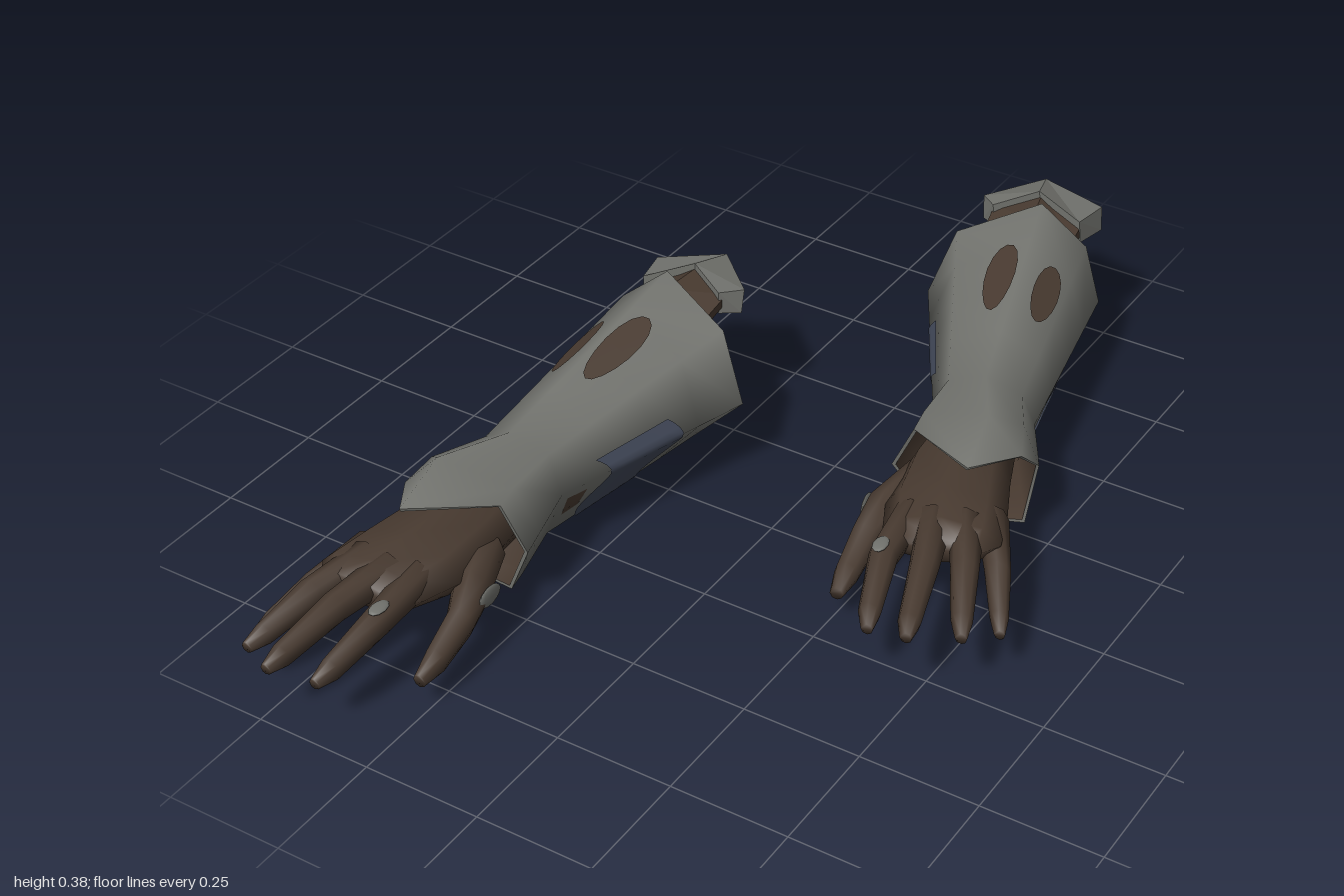
import * as THREE from 'three';

const mat = (name, color) => new THREE.MeshStandardMaterial({ name, color, side: THREE.DoubleSide });

// Skin a list of cross-sections, each a loop of [x, y, z] points.
function loft(rings, { caps = false, flat = false } = {}) {
  const n = rings[0].length, index = [];
  for (let i = 0; i < rings.length - 1; i++) {
    for (let j = 0; j < n; j++) {
      const a = i * n + j, b = i * n + (j + 1) % n;
      index.push(a, b, b + n, a, b + n, a + n);
    }
  }
  if (caps) {
    const e = (rings.length - 1) * n;
    for (let j = 1; j < n - 1; j++) index.push(0, j + 1, j, e, e + j, e + j + 1);
  }
  return surface(rings.flat(2), index, flat);
}

function surface(points, index, flat = false) {
  let g = new THREE.BufferGeometry();
  g.setAttribute('position', new THREE.Float32BufferAttribute(points, 3));
  g.setIndex(index);
  if (flat) {
    g = g.toNonIndexed();
    g.setIndex([...Array(g.attributes.position.count).keys()]);
  }
  g.computeVertexNormals();
  return g;
}

// Oval cross-section facing z.
const oval = ([x, y, z, rx, ry = rx], n = 8) => Array.from({ length: n }, (_, k) => {
  const a = (k / n) * Math.PI * 2;
  return [x + rx * Math.cos(a), y + ry * Math.sin(a), z];
});
const tube = (sections) => loft(sections.map((s) => oval(s)), { caps: true });
const mix = (p, q, t) => p.map((v, k) => v + (q[k] - v) * t);

// Cuff sections: inner side, over the top, outer side, underneath.
const elbow = [[-0.15, 0.18, -0.13], [-0.215, 0.32, -0.16], [-0.39, 0.373, -0.22], [-0.49, 0.29, -0.2],
  [-0.51, 0.15, -0.21], [-0.44, 0.03, -0.2], [-0.31, 0.005, -0.19]];
const wrist = [[-0.3, 0.16, 0.3], [-0.335, 0.24, 0.29], [-0.42, 0.268, 0.3], [-0.49, 0.225, 0.29],
  [-0.51, 0.15, 0.28], [-0.475, 0.055, 0.29], [-0.35, 0.04, 0.29]];
const flare = [[-0.275, 0.15, 0.41], [-0.325, 0.245, 0.42], [-0.475, 0.285, 0.46], [-0.53, 0.235, 0.41],
  [-0.55, 0.15, 0.39], [-0.52, 0.03, 0.4], [-0.33, 0.022, 0.4]];
const hem = [[-0.265, 0.14, 0.465], [-0.32, 0.235, 0.47], [-0.47, 0.245, 0.59], [-0.545, 0.21, 0.48],
  [-0.56, 0.15, 0.42], [-0.53, 0.02, 0.44], [-0.33, 0.007, 0.44]];

// Point on the forearm: u runs round the ring corners, t from elbow to wrist.
function onCuff(u, t, lift = 0.005) {
  const v = ((u % 7) + 7) % 7, i = Math.floor(v), j = (i + 1) % 7;
  const p = mix(mix(elbow[i], elbow[j], v - i), mix(wrist[i], wrist[j], v - i), t);
  const c = mix([-0.335, 0.18, -0.2], [-0.405, 0.155, 0.29], t);
  const d = Math.hypot(p[0] - c[0], p[1] - c[1]);
  return [p[0] + (p[0] - c[0]) / d * lift, p[1] + (p[1] - c[1]) / d * lift, p[2]];
}

// Oval mark lying on the forearm.
function mark(u, t, ru, rt) {
  const n = 16, points = [...onCuff(u, t)], index = [];
  for (let k = 0; k < n; k++) {
    const a = (k / n) * Math.PI * 2;
    points.push(...onCuff(u + ru * Math.cos(a), t + rt * Math.sin(a)));
    index.push(0, 1 + (k + 1) % n, 1 + k);
  }
  return surface(points, index);
}

// Patch wrapped round the underside, slightly slanted at its ends.
function wrappedPatch(u0, u1, t0, t1) {
  const nu = 28, nt = 6, points = [], index = [], w = nt + 1;
  for (let i = 0; i <= nu; i++) {
    for (let j = 0; j <= nt; j++) {
      const t = t0 + (t1 - t0) * j / nt;
      points.push(...onCuff(u0 + (u1 - u0) * i / nu, t + 0.06 * Math.sin(i * 0.45)));
      if (i < nu && j < nt) {
        const a = i * w + j;
        index.push(a, a + w, a + w + 1, a, a + w + 1, a + 1);
      }
    }
  }
  return surface(points, index);
}

// Angled plate made of four-point sections running across the arm.
const plate = (front, back, drop) => loft(front.map((f, k) => {
  const b = back[k];
  return [f, b, [b[0], b[1] - drop, b[2] + 0.012], [f[0], f[1] - drop, f[2]]];
}), { caps: true, flat: true });

function spot(x, y, z, rx, ry, rz) {
  const g = new THREE.SphereGeometry(1, 10, 8);
  g.scale(rx, ry, rz);
  g.translate(x, y, z);
  return g;
}

function gauntletParts(grey, brown, blue) {
  const shell = [elbow, ...[0.25, 0.5, 0.75].map((t) => elbow.map((p, k) => mix(p, wrist[k], t))), wrist, flare, hem];
  const inset = (ring) => {
    const c = ring.reduce((s, p) => [s[0] + p[0] / 7, s[1] + p[1] / 7], [0, 0]);
    return ring.map((p) => [c[0] + (p[0] - c[0]) * 0.95, c[1] + (p[1] - c[1]) * 0.95, p[2]]);
  };
  const lining = shell.map(inset);
  const parts = [
    ['cuff', loft(shell), grey],
    ['cuffLining', loft([...lining].reverse()), brown],
    ['elbowRim', loft([lining[0], elbow]), grey],
    ['wristRim', loft([hem, lining.at(-1)]), grey],
    ['outerTopMark', mark(2.62, 0.43, 0.27, 0.17), brown],
    ['innerTopMark', mark(1.7, 0.42, 0.23, 0.2), brown],
    ['forearmPatch', wrappedPatch(-2.45, 0.35, 0.4, 0.8), blue],
    // Elbow guard and the strap joining it to the cuff
    ['elbowGuard', plate(
      [[-0.465, 0.325, -0.24], [-0.365, 0.365, -0.285], [-0.275, 0.35, -0.235]],
      [[-0.49, 0.315, -0.33], [-0.35, 0.34, -0.385], [-0.24, 0.345, -0.28]], 0.05), grey],
    ['elbowStrap', plate(
      [[-0.46, 0.3, -0.19], [-0.375, 0.35, -0.19], [-0.27, 0.32, -0.175]],
      [[-0.465, 0.31, -0.27], [-0.365, 0.35, -0.31], [-0.27, 0.335, -0.26]], 0.02), brown],
    // Hand
    ['palm', tube([[-0.41, 0.15, 0.35, 0.085, 0.075], [-0.415, 0.155, 0.5, 0.11, 0.075],
      [-0.43, 0.155, 0.62, 0.125, 0.065], [-0.45, 0.16, 0.71, 0.12, 0.05], [-0.45, 0.165, 0.755, 0.085, 0.03]]), brown],
    ['thumbSpot', spot(-0.257, 0.13, 0.6, 0.005, 0.022, 0.034), grey],
    ['fingerSpot', spot(-0.36, 0.194, 0.8, 0.016, 0.005, 0.026), grey],
  ];
  const fingers = {
    thumb: [[-0.345, 0.14, 0.49, 0.045], [-0.3, 0.13, 0.6, 0.044], [-0.277, 0.105, 0.67, 0.032],
      [-0.268, 0.08, 0.76, 0.026], [-0.265, 0.07, 0.815, 0.014]],
    indexFinger: [[-0.375, 0.17, 0.66, 0.036], [-0.363, 0.165, 0.8, 0.03], [-0.377, 0.13, 0.93, 0.023], [-0.384, 0.12, 0.968, 0.012]],
    middleFinger: [[-0.43, 0.18, 0.68, 0.036], [-0.452, 0.17, 0.82, 0.03], [-0.467, 0.145, 0.96, 0.023], [-0.472, 0.138, 0.998, 0.012]],
    ringFinger: [[-0.49, 0.175, 0.67, 0.036], [-0.525, 0.16, 0.8, 0.029], [-0.552, 0.125, 0.91, 0.022], [-0.562, 0.115, 0.948, 0.012]],
    littleFinger: [[-0.525, 0.155, 0.62, 0.034], [-0.57, 0.12, 0.74, 0.027], [-0.6, 0.085, 0.835, 0.019], [-0.61, 0.072, 0.868, 0.011]],
  };
  for (const [name, path] of Object.entries(fingers)) parts.push([name, tube(path), brown]);
  return parts;
}

// Mirrored copy across x with the faces turned the right way round.
function mirrored(geometry) {
  const g = geometry.clone();
  g.scale(-1, 1, 1);
  const ix = g.index.array;
  for (let i = 0; i < ix.length; i += 3) [ix[i], ix[i + 1]] = [ix[i + 1], ix[i]];
  return g;
}

export function createModel() {
  const model = new THREE.Group();
  model.name = 'gauntlets';
  const right = new THREE.Group(), left = new THREE.Group(), leftOffset = new THREE.Group();
  right.name = 'rightGauntlet';
  left.name = 'leftGauntlet';
  leftOffset.name = 'leftGauntletParts';
  const parts = gauntletParts(mat('grey cloth', 0x72736e), mat('brown leather', 0x483a30), mat('blue patch', 0x444b5c));
  for (const [name, geometry, material] of parts) {
    for (const [group, g] of [[right, geometry], [leftOffset, mirrored(geometry)]]) {
      const mesh = new THREE.Mesh(g, material);
      mesh.name = name;
      group.add(mesh);
    }
  }
  // The left one lies further back, turned outward and slightly rolled about its elbow.
  leftOffset.position.set(-0.33, -0.18, 0.17);
  left.add(leftOffset);
  left.rotation.set(0, 0.197, 0.1, 'YXZ');
  left.position.set(0.12, 0.185, -0.795);
  model.add(right, left);
  return model;
}
